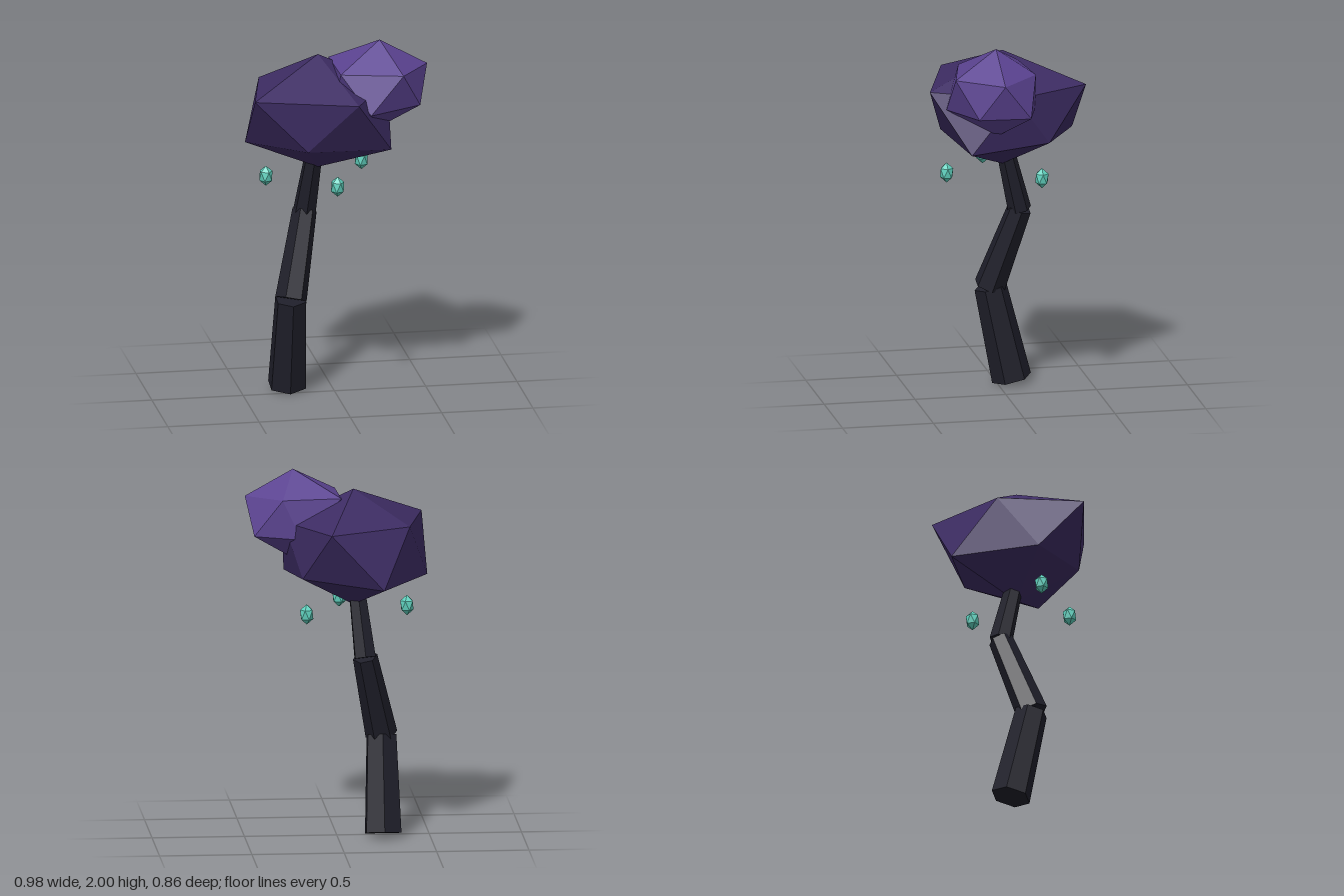
import * as THREE from 'three';

const flat = (color, name) => {
  const m = new THREE.MeshStandardMaterial({ color, flatShading: true });
  m.name = name;
  return m;
};

// Twenty-sided blob: top point, two staggered rings of five, bottom point.
// Rings run counter-clockwise seen from above.
function blobGeometry(top, upper, lower, bottom) {
  const p = [];
  for (let i = 0; i < 5; i++) {
    const j = (i + 1) % 5;
    p.push(...top, ...upper[i], ...upper[j]);
    p.push(...upper[i], ...lower[i], ...upper[j]);
    p.push(...lower[i], ...lower[j], ...upper[j]);
    p.push(...bottom, ...lower[j], ...lower[i]);
  }
  const g = new THREE.BufferGeometry();
  g.setAttribute('position', new THREE.Float32BufferAttribute(p, 3));
  g.computeVertexNormals();
  return g;
}

// Regular ring of five points for the hanging crystals
const ring = (r, y, turn) => Array.from({ length: 5 }, (_, i) => {
  const a = (i + turn) * Math.PI * 2 / 5;
  return [Math.cos(a) * r, y, -Math.sin(a) * r];
});

export function createModel() {
  const group = new THREE.Group();
  const bark = flat(0x1f1f2a, 'dark bark');
  const darkLeaf = flat(0x3d2c63, 'dark purple leaves');
  const lightLeaf = flat(0x5b4391, 'light purple leaves');
  const teal = flat(0x5fd0bd, 'teal crystal');

  const add = (name, geometry, material) => {
    const mesh = new THREE.Mesh(geometry, material);
    mesh.name = name;
    group.add(mesh);
    return mesh;
  };

  // Crooked trunk: three tapered hexagonal logs [from, to, bottom r, top r, twist]
  const up = new THREE.Vector3(0, 1, 0);
  const logs = [
    ['trunkLower', [-0.245, 0.025, -0.081], [-0.245, 0.543, 0.035], 0.109, 0.089, 0],
    ['trunkMiddle', [-0.245, 0.545, 0.04], [-0.145, 1.0, -0.105], 0.087, 0.067, Math.PI / 6],
    ['trunkUpper', [-0.145, 0.995, -0.105], [-0.1, 1.43, 0.003], 0.064, 0.045, 0],
  ];
  for (const [name, from, to, r0, r1, twist] of logs) {
    const a = new THREE.Vector3(...from), b = new THREE.Vector3(...to);
    const dir = b.clone().sub(a);
    const log = add(name, new THREE.CylinderGeometry(r1, r0, dir.length(), 6).rotateY(twist), bark);
    log.position.copy(a).add(b).multiplyScalar(0.5);
    log.quaternion.setFromUnitVectors(up, dir.normalize());
  }

  // Main canopy
  add('mainCanopy', blobGeometry(
    [-0.09, 1.905, 0],
    [[0.29, 1.73, 0], [0.06, 1.73, -0.43], [-0.38, 1.73, -0.2], [-0.48, 1.73, 0.26], [0.06, 1.73, 0.43]],
    [[0.2, 1.45, -0.2], [-0.225, 1.42, -0.41], [-0.49, 1.43, 0], [-0.2, 1.45, 0.32], [0.27, 1.42, 0.24]],
    [-0.09, 1.27, 0]), darkLeaf);

  // Smaller canopy
  add('smallCanopy', blobGeometry(
    [0.23, 2, 0.1],
    [[0.49, 1.855, 0.1], [0.3, 1.865, -0.105], [-0.02, 1.865, -0.07], [-0.01, 1.86, 0.26], [0.32, 1.86, 0.34]],
    [[0.45, 1.66, -0.05], [0.2, 1.65, -0.12], [-0.02, 1.65, 0.1], [0.14, 1.65, 0.355], [0.43, 1.66, 0.23]],
    [0.23, 1.51, 0.1]), lightLeaf);

  // Floating crystals
  const crystal = blobGeometry([0, 0.056, 0], ring(0.036, 0.025, 0), ring(0.036, -0.025, 0.5), [0, -0.056, 0]);
  for (const [x, z] of [[-0.384, 0.05], [-0.038, 0.318], [0.176, -0.163]]) {
    add('crystal', crystal, teal).position.set(x, 1.25, z);
  }
  return group;
}
